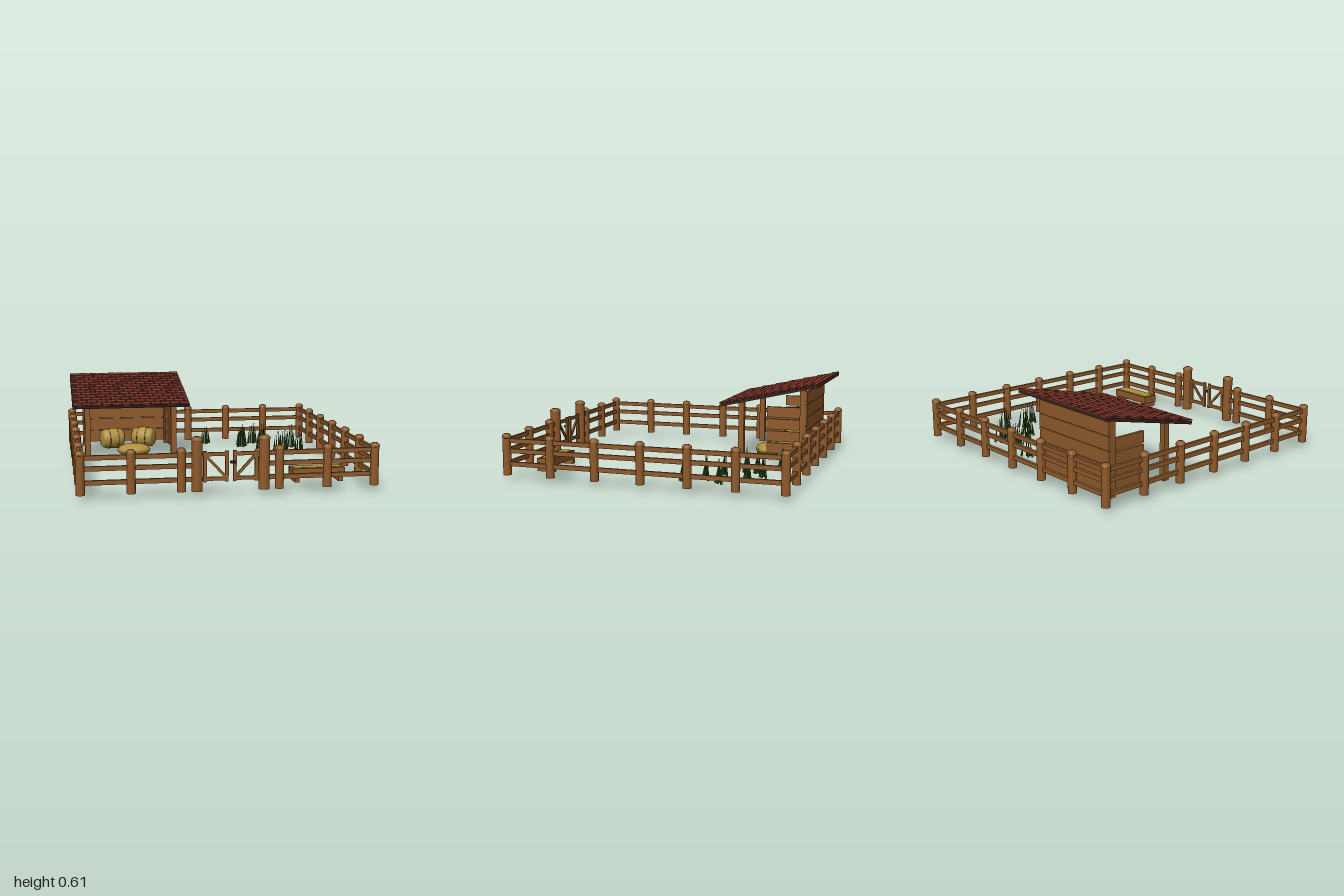
import * as THREE from 'three';

const mat = (name, color, side = THREE.FrontSide) => {
  const m = new THREE.MeshStandardMaterial({ color, side });
  m.name = name;
  return m;
};

export function createModel() {
  const wood = mat('wood', 0x8f5a2b);
  const hay = mat('hay', 0xae903c);
  const twine = mat('twine', 0x705424);
  const tile = mat('roof tile', 0x7c3529);
  const board = mat('roof board', 0x35211a);
  const grass = mat('grass', 0x35551a);
  const iron = mat('iron', 0x2a2422);

  const model = new THREE.Group();
  model.name = 'paddock';
  const group = (name, parent = model) => {
    const g = new THREE.Group();
    g.name = name;
    parent.add(g);
    return g;
  };
  const add = (parent, name, geo, m, x, y, z) => {
    const mesh = new THREE.Mesh(geo, m);
    mesh.name = name;
    mesh.position.set(x, y, z);
    parent.add(mesh);
    return mesh;
  };
  const box = (parent, name, m, w, h, d, x, y, z) =>
    add(parent, name, new THREE.BoxGeometry(w, h, d), m, x, y, z);

  // Round post with a slightly wider bevelled cap
  const GROUND = 0.04;
  const postGeometry = (r, top) => {
    const shaft = [[0, GROUND], [r, GROUND], [r, GROUND], [r, top - 0.03], [r, top - 0.03],
      [r + 0.003, top - 0.028], [r + 0.002, top - 0.014], [r * 0.6, top - 0.002], [0, top]];
    return new THREE.LatheGeometry(shaft.map(p => new THREE.Vector2(...p)), 16);
  };

  // Fence: posts round the square, three rails a side, a gap at the gate
  const fence = group('fence');
  const E = 0.962, RAILS = [0.277, 0.207, 0.117];
  const fencePost = postGeometry(0.029, 0.325);
  for (let i = -3; i <= 3; i++) {
    const p = i * E / 3;
    add(fence, 'fencePost', fencePost, wood, p, 0, -E);
    if (i !== 0) add(fence, 'fencePost', fencePost, wood, p, 0, E);
    if (Math.abs(i) < 3) for (const s of [-1, 1]) add(fence, 'fencePost', fencePost, wood, s * E, 0, p);
  }
  for (const y of RAILS) {
    box(fence, 'backRail', wood, 2 * E, 0.03, 0.02, 0, y, -E);
    for (const s of [-1, 1]) {
      box(fence, 'sideRail', wood, 0.02, 0.03, 2 * E, s * E, y, 0);
      box(fence, 'frontRail', wood, E - 0.22, 0.03, 0.02, s * (E + 0.22) / 2, y, E);
    }
  }

  // Double gate with tall posts
  const gate = group('gate');
  const gatePost = postGeometry(0.036, 0.395);
  for (const s of [-1, 1]) {
    add(gate, 'gatePost', gatePost, wood, s * 0.219, 0, E);
    for (const y of [0.277, 0.117]) box(gate, 'gateRail', wood, 0.165, 0.024, 0.014, s * 0.1, y, E);
    for (const x of [0.026, 0.168]) box(gate, 'gateStile', wood, 0.022, 0.2, 0.016, s * x, 0.197, E);
    const brace = box(gate, 'gateBrace', wood, 0.2, 0.018, 0.012, s * 0.097, 0.197, E);
    brace.rotation.z = s * Math.atan2(0.14, 0.13);
  }
  box(gate, 'gateLatch', iron, 0.035, 0.018, 0.016, 0.012, 0.225, E + 0.014);

  // Shed frame and plank walls
  const shed = group('shed');
  for (const x of [-0.86, -0.2]) {
    box(shed, 'frontShedPost', wood, 0.042, 0.42, 0.042, x, 0.25, -0.367);
    box(shed, 'backShedPost', wood, 0.042, 0.51, 0.042, x, 0.295, -0.83);
    for (let i = 0; i < 4; i++)
      box(shed, 'sidePlank', wood, 0.02, 0.078, 0.26, x, 0.111 + i * 0.09, -0.69);
  }
  for (let i = 0; i < 5; i++)
    box(shed, 'backPlank', wood, 0.7, 0.092, 0.018, -0.53, 0.112 + i * 0.095, -0.852);

  // Sloping roof with staggered tiles
  const roof = group('roof', shed);
  roof.position.set(-0.532, 0.512, -0.596);
  roof.rotation.x = 0.226;
  const W = 0.884, L = 0.755, ROWS = 13, COLS = 12, pitch = W / COLS, step = L / ROWS;
  box(roof, 'roofBoard', board, W, 0.02, L - 0.01, 0, 0, 0);
  for (let r = 0; r < ROWS; r++) {
    const z = -L / 2 + (r + 0.5) * step;
    for (let c = 0; c < COLS; c++) {
      const odd = r % 2, half = odd && c === COLS - 1;
      const w = (half ? pitch / 2 : pitch) - 0.006;
      const x = -W / 2 + (c + (odd ? 0.5 : 0)) * pitch + 0.003 + w / 2;
      const t = box(roof, 'roofTile', tile, w, 0.009, step - 0.004, x, 0.0165, z);
      t.rotation.x = -0.07;
    }
  }

  // Round hay bales lying on their sides, tied with twine
  const baleProfile = [[0, -0.088], [0.055, -0.088], [0.07, -0.075], [0.079, -0.035],
    [0.081, 0], [0.079, 0.035], [0.07, 0.075], [0.055, 0.088], [0, 0.088]];
  const baleGeometry = new THREE.LatheGeometry(baleProfile.map(p => new THREE.Vector2(...p)), 20);
  const bandGeometry = new THREE.CylinderGeometry(0.0815, 0.0815, 0.008, 20);
  for (const [x, z, turn] of [[-0.655, -0.66, 0.25], [-0.4, -0.69, -0.45]]) {
    const bale = group('hayBale');
    bale.position.set(x, 0.12, z);
    bale.rotation.set(0, turn, Math.PI / 2);
    add(bale, 'bale', baleGeometry, hay, 0, 0, 0);
    for (const y of [-0.034, 0.034]) add(bale, 'twineBand', bandGeometry, twine, 0, y, 0);
  }
  const pile = add(model, 'hayPile', new THREE.SphereGeometry(1, 24, 14), hay, -0.495, 0.05, -0.515);
  pile.scale.set(0.13, 0.05, 0.105);

  // Feeding trough filled with hay
  const trough = group('trough');
  trough.position.set(0.628, 0, 0.76);
  box(trough, 'troughFloor', wood, 0.34, 0.012, 0.1, 0, 0.082, 0);
  box(trough, 'troughHay', hay, 0.325, 0.045, 0.085, 0, 0.113, 0);
  for (const s of [-1, 1]) {
    box(trough, 'troughSide', wood, 0.36, 0.055, 0.016, 0, 0.105, s * 0.05);
    box(trough, 'troughEnd', wood, 0.018, 0.055, 0.1, s * 0.17, 0.105, 0);
    box(trough, 'troughFoot', wood, 0.032, 0.036, 0.128, s * 0.15, 0.058, 0);
  }

  // Grass tufts: pointed blades, each [base x, base z, tip x, tip z, height]
  const blades = [[-0.035, 0.012, -0.018, 0.002, 0.15], [-0.012, -0.008, -0.004, 0.008, 0.18],
    [0.004, 0.022, 0.004, 0.0, 0.14], [0.018, 0.006, 0.01, -0.01, 0.19], [0.04, -0.028, 0.022, -0.014, 0.16]];
  const up = new THREE.Vector3(0, 1, 0);
  const tufts = [[0.11, -0.75], [0.495, -0.705], [0.39, -0.64], [0.56, -0.615], [0.38, -0.56],
    [0.51, -0.44], [0.76, -0.475], [0.675, -0.36], [0.59, -0.205], [0.765, -0.23]];
  tufts.forEach(([x, z], i) => {
    const tuft = group('grassTuft');
    tuft.position.set(x, GROUND, z);
    tuft.scale.y = i === 0 ? 0.85 : 1;
    for (const [bx, bz, tx, tz, h] of blades) {
      const dir = new THREE.Vector3(tx - bx, h, tz - bz);
      const blade = add(tuft, 'grassBlade', new THREE.ConeGeometry(0.009, dir.length(), 5), grass,
        (bx + tx) / 2, h / 2, (bz + tz) / 2);
      blade.quaternion.setFromUnitVectors(up, dir.normalize());
    }
  });

  return model;
}
